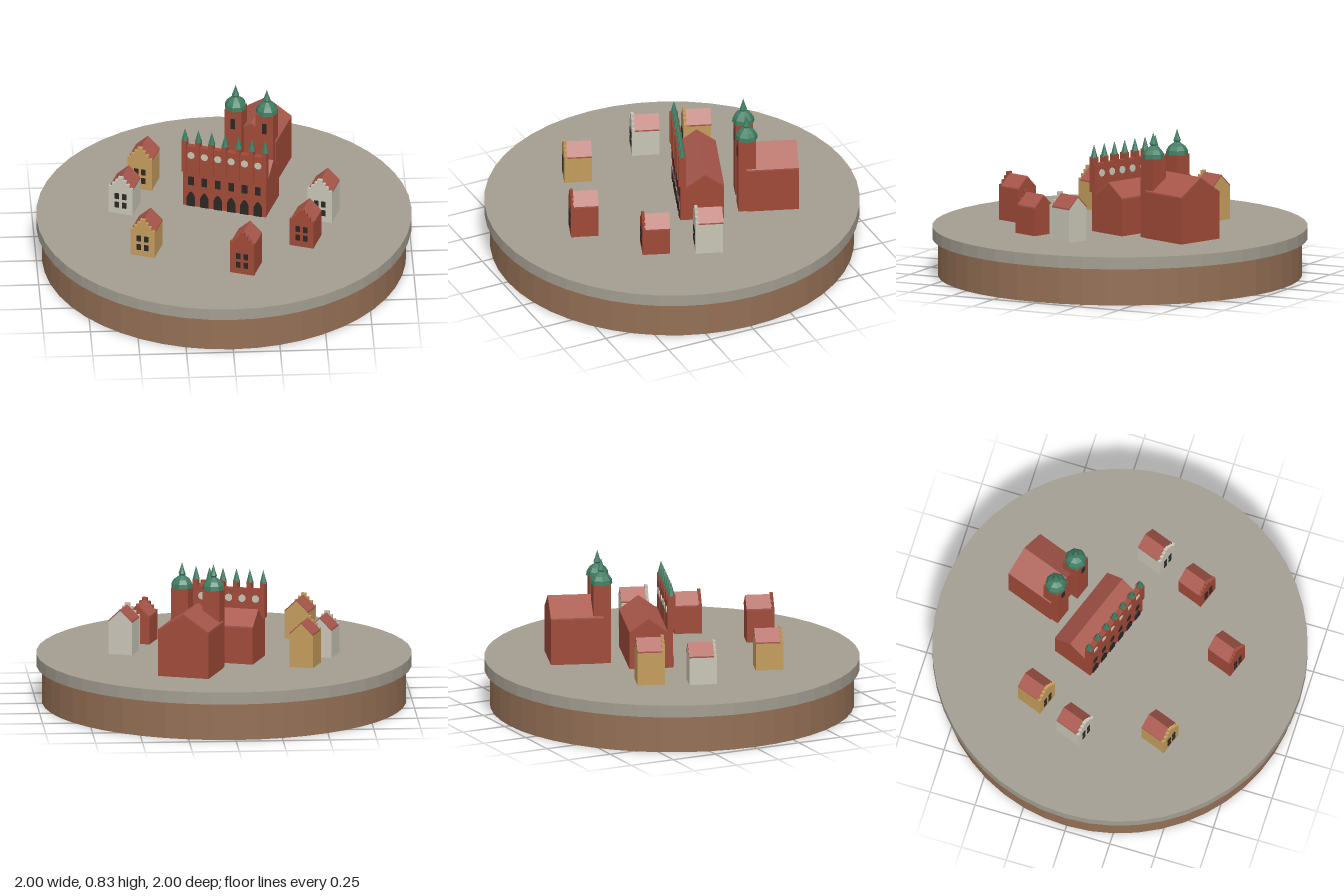
import * as THREE from 'three';

const mat = (name, color) => {
  const m = new THREE.MeshStandardMaterial({ color, flatShading: true });
  m.name = name;
  return m;
};

const GROUND = 0.265;
const TURN = -0.349; // every building is turned the same way

export function createModel() {
  const wood = mat('wood', 0x94704f), stone = mat('stone', 0xa39d91);
  const brick = mat('brick', 0xa04a38), roofTile = mat('roof tile', 0xa8574b);
  const copper = mat('green copper', 0x3f7d62), dark = mat('dark opening', 0x2b2624);
  const cream = mat('cream plaster', 0xc8c4b6), ochre = mat('ochre plaster', 0xc49c5c);
  wood.color.set(0x946f55);

  const model = new THREE.Group();
  model.name = 'townModel';

  const add = (parent, name, geo, material, x = 0, y = 0, z = 0) => {
    const m = new THREE.Mesh(geo, material);
    m.name = name;
    m.position.set(x, y, z);
    parent.add(m);
    return m;
  };
  const box = (w, h, d) => new THREE.BoxGeometry(w, h, d);
  const group = (name, x, z) => {
    const g = new THREE.Group();
    g.name = name;
    g.position.set(x, GROUND, z);
    g.rotation.y = TURN;
    model.add(g);
    return g;
  };
  // Extrudes a list of [x, y] corners along z, centred on z
  const prism = (pts, depth) => {
    const s = new THREE.Shape(pts.map(([x, y]) => new THREE.Vector2(x, y)));
    return new THREE.ExtrudeGeometry(s, { depth, bevelEnabled: false }).translate(0, 0, -depth / 2);
  };

  // Gabled block with its ridge along z
  const gabledBlock = (parent, name, w, d, eave, ridge, wall) => {
    const g = new THREE.Group(), h = w / 2, t = 0.008;
    g.name = name;
    add(g, 'walls', prism([[-h, 0], [h, 0], [h, eave - t], [0, ridge - t], [-h, eave - t]], d), wall);
    add(g, 'roof', prism([[-h, eave - t], [0, ridge - t], [h, eave - t], [h, eave], [0, ridge], [-h, eave]], d + 0.002), roofTile);
    parent.add(g);
    return g;
  };

  // Round plinth and paved disc
  add(model, 'plinth', new THREE.CylinderGeometry(0.97, 0.97, 0.2, 48), wood, 0, 0.1, 0);
  add(model, 'pavedDisc', new THREE.CylinderGeometry(1, 1, GROUND - 0.2, 48), stone, 0, (GROUND + 0.2) / 2, 0);

  // Town hall: long block behind a tall screen facade
  const hall = group('townHall', 0.045, -0.135);
  const hallBlock = gabledBlock(hall, 'hallBlock', 0.205, 0.46, 0.205, 0.28, brick);
  hallBlock.rotation.y = Math.PI / 2;
  hallBlock.position.z = -0.012;
  const FZ = 0.105, FT = 0.03, front = FZ + FT / 2 + 0.001;
  add(hall, 'facade', box(0.46, 0.365, FT), brick, 0, 0.1825, FZ);

  const bays = 6, step = 0.0745;
  const arch = prism([[-0.023, 0], [0.023, 0], [0.023, 0.055], [0.013, 0.076], [0, 0.09], [-0.013, 0.076], [-0.023, 0.055]], 0.006);
  const roundel = new THREE.CylinderGeometry(0.02, 0.02, FT + 0.008, 12).rotateX(Math.PI / 2);
  const pinnacle = new THREE.LatheGeometry(
    [[0, 0], [0.02, 0], [0.014, 0.022], [0.008, 0.045], [0, 0.073]].map(p => new THREE.Vector2(...p)), 6);
  for (let i = 0; i < bays; i++) {
    const x = (i - (bays - 1) / 2) * step;
    add(hall, 'archway', arch, dark, x, 0, front);
    add(hall, 'hallWindow', box(0.03, 0.05, 0.006), dark, x, 0.155, front);
    add(hall, 'roundel', roundel, cream, x, 0.312, FZ);
  }
  for (let i = 0; i <= bays; i++) {
    const x = (i - bays / 2) * step;
    add(hall, 'pier', box(0.026, 0.19, 0.042), brick, x, 0.305, FZ + 0.005);
    add(hall, 'pinnacle', pinnacle, copper, x, 0.395, FZ + 0.005);
  }

  // Church: nave with two domed towers at the front
  const church = group('church', 0.163, -0.352);
  const nave = gabledBlock(church, 'nave', 0.28, 0.28, 0.255, 0.348, brick);
  nave.position.z = -0.135;
  const dome = new THREE.LatheGeometry(
    [[0, 0], [0.06, 0], [0.057, 0.024], [0.043, 0.046], [0.022, 0.06], [0.014, 0.066],
      [0.02, 0.076], [0.011, 0.1], [0, 0.138]].map(p => new THREE.Vector2(...p)), 8);
  for (const side of [-1, 1]) {
    const x = side * 0.087;
    add(church, 'tower', box(0.095, 0.43, 0.095), brick, x, 0.215, 0);
    add(church, 'towerWindow', box(0.024, 0.06, 0.006), dark, x, 0.35, 0.049);
    add(church, 'dome', dome, copper, x, 0.428, 0);
  }

  // Town houses with stepped gables: x, z, wall height, colour
  const houses = [
    [0.09, 0.565, 0.185, brick], [0.42, 0.3, 0.155, brick], [0.53, 0.04, 0.185, cream],
    [-0.43, 0.355, 0.155, ochre], [-0.525, -0.09, 0.155, cream], [-0.41, -0.34, 0.185, ochre],
  ];
  for (const [x, z, h, wall] of houses) {
    const house = group('house', x, z);
    gabledBlock(house, 'houseBlock', 0.13, 0.135, h, h + 0.062, wall).position.z = -0.006;
    // Outline of the stepped gable, mirrored about its middle
    const half = [[0.067, 0], [0.067, h + 0.008], [0.048, h + 0.008], [0.048, h + 0.03],
      [0.03, h + 0.03], [0.03, h + 0.05], [0.014, h + 0.05], [0.014, h + 0.07]];
    const outline = [...half, ...half.map(([a, b]) => [-a, b]).reverse()];
    add(house, 'steppedGable', prism(outline, 0.016), wall, 0, 0, 0.066);
    for (const sx of [-0.02, 0.02])
      for (const wy of [0.055, 0.108])
        add(house, 'houseWindow', box(0.024, 0.034, 0.006), dark, sx, wy, 0.075);
  }

  return model;
}
